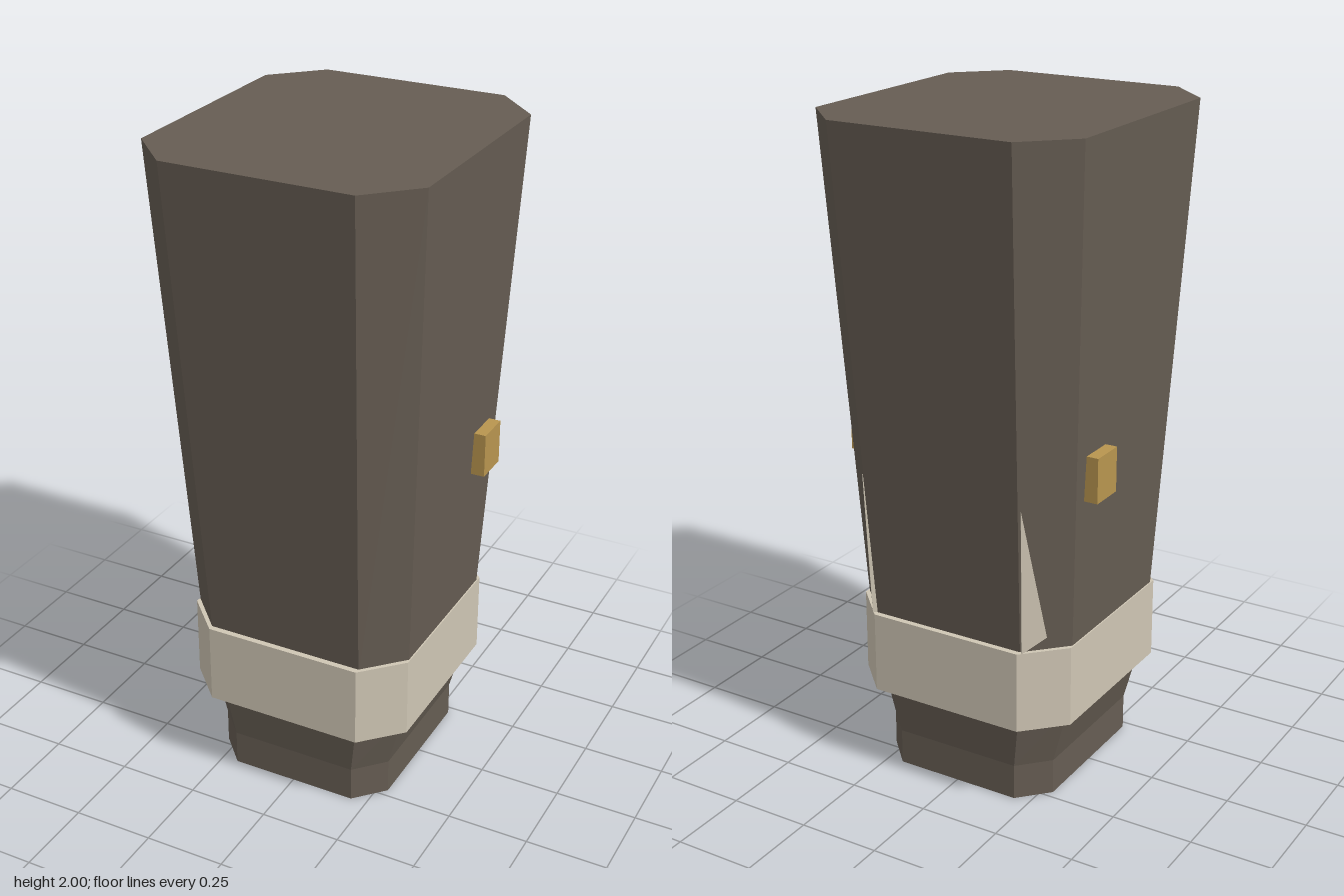
import * as THREE from 'three';
import { ConvexGeometry } from 'three/addons/geometries/ConvexGeometry.js';

const mat = (name, color) => {
  const m = new THREE.MeshStandardMaterial({ color });
  m.name = name;
  return m;
};

// Corners of a chamfered rectangle: half width, half depth, chamfer in x and z
function ring([y, hx, hz, kx, kz]) {
  const a = hx - kx, b = hz - kz;
  return [[hx, -b], [hx, b], [a, hz], [-a, hz], [-hx, b], [-hx, -b], [-a, -hz], [a, -hz]]
    .map(([x, z]) => new THREE.Vector3(x, y, z));
}

// Flat-faced loft through chamfered rectangles, capped at both ends
function loft(sections) {
  const rings = sections.map(ring), n = 8, tris = [];
  for (let s = 0; s < rings.length - 1; s++) {
    for (let i = 0; i < n; i++) {
      const j = (i + 1) % n, lo = rings[s], hi = rings[s + 1];
      tris.push(lo[j], lo[i], hi[i], lo[j], hi[i], hi[j]);
    }
  }
  const first = rings[0], last = rings[rings.length - 1];
  for (let i = 1; i < n - 1; i++) {
    tris.push(first[0], first[i], first[i + 1], last[0], last[i + 1], last[i]);
  }
  const g = new THREE.BufferGeometry().setFromPoints(tris);
  g.computeVertexNormals();
  return g;
}

export function createModel() {
  const group = new THREE.Group();
  const brown = mat('dark brown', 0x665d53);
  const cream = mat('pale stone', 0xcfc6b4);
  const gold = mat('brass', 0xb8954f);
  const add = (name, geometry, material) => {
    const mesh = new THREE.Mesh(geometry, material);
    mesh.name = name;
    group.add(mesh);
    return mesh;
  };

  // Flared main body
  add('body', loft([
    [0.5, 0.353, 0.356, 0.108, 0.112],
    [2, 0.42, 0.47, 0.135, 0.135],
  ]), brown);

  // Pale collar
  add('collar', loft([
    [0.27, 0.358, 0.375, 0.113, 0.115],
    [0.52, 0.358, 0.375, 0.113, 0.115],
  ]), cream);

  // Neck with a recessed underside
  add('neck', loft([
    [0.06, 0.25, 0.28, 0.07, 0.075],
    [0, 0.25, 0.28, 0.07, 0.075],
    [0, 0.283, 0.313, 0.083, 0.088],
    [0.11, 0.283, 0.313, 0.083, 0.088],
    [0.3, 0.333, 0.335, 0.105, 0.105],
  ]), brown);

  for (const side of [1, -1]) {
    // Side stud
    const stud = add(side > 0 ? 'leftStud' : 'rightStud', new THREE.BoxGeometry(0.07, 0.135, 0.11), gold);
    stud.position.set(side * 0.381, 1.033, -0.172);

    // Thin spike emerging from the rear chamfer
    const spike = [
      [0.265, 0.97, -0.387], [0.257, 0.52, -0.366], [0.305, 0.56, -0.307],
      [0.24, 0.9, -0.355], [0.24, 0.52, -0.345], [0.28, 0.54, -0.29],
    ].map(([x, y, z]) => new THREE.Vector3(side * x, y, z));
    add(side > 0 ? 'leftSpike' : 'rightSpike', new ConvexGeometry(spike), cream);
  }

  return group;
}
